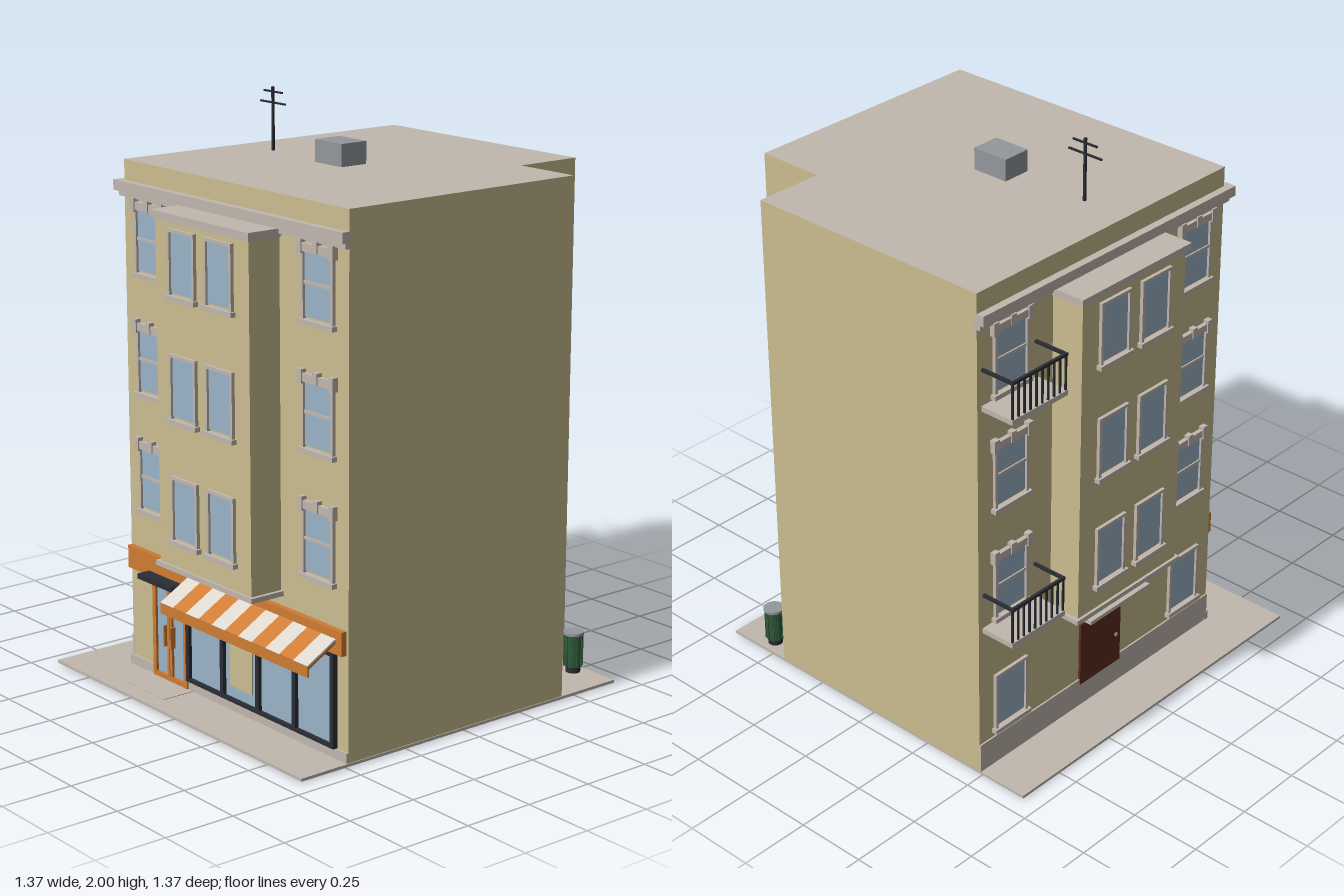
import * as THREE from 'three';

const mat = (name, color) => {
  const m = new THREE.MeshStandardMaterial({ color });
  m.name = name;
  return m;
};
const wall = mat('tan wall', 0xcbbd90);
const trim = mat('pale stone', 0xc1b7ae);
const glass = mat('blue glass', 0x9ab3c6);
const orange = mat('orange paint', 0xcf7c33);
const white = mat('awning white', 0xdcd7ce);
const dark = mat('dark iron', 0x2a2d34);
const metal = mat('grey metal', 0x93989d);
const green = mat('bin green', 0x2f5c3c);
const brown = mat('brown door', 0x5c2e20);

function add(parent, name, geometry, material) {
  const mesh = new THREE.Mesh(geometry, material);
  mesh.name = name;
  parent.add(mesh);
  return mesh;
}

// Box given by its extents on each axis
function box(parent, name, material, x0, x1, y0, y1, z0, z1) {
  const mesh = add(parent, name, new THREE.BoxGeometry(x1 - x0, y1 - y0, z1 - z0), material);
  mesh.position.set((x0 + x1) / 2, (y0 + y1) / 2, (z0 + z1) / 2);
  return mesh;
}

function group(parent, name, x = 0, y = 0, z = 0, turn = 0) {
  const g = new THREE.Group();
  g.name = name;
  g.position.set(x, y, z);
  g.rotation.y = turn;
  parent.add(g);
  return g;
}

// Window facing local +z, its bottom centre at the origin
function addWindow(parent, w, h, { sash = false, crown = false } = {}) {
  const f = 0.011, r = w / 2;
  box(parent, 'windowGlass', glass, -r + f, r - f, f, h - f, 0, 0.004);
  for (const s of [-1, 1]) {
    const x = s * (r - f / 2);
    box(parent, 'windowJamb', trim, x - f / 2, x + f / 2, 0, h, 0, 0.012);
  }
  box(parent, 'windowHead', trim, -r, r, h - f, h, 0, 0.012);
  box(parent, 'windowSill', trim, -r - 0.008, r + 0.008, -0.012, 0.004, 0, 0.02);
  if (sash) box(parent, 'windowSash', trim, -r + f, r - f, h * 0.53 - 0.005, h * 0.53 + 0.005, 0, 0.009);
  if (crown) {
    box(parent, 'lintel', trim, -r - 0.004, r + 0.004, h - 0.008, h + 0.018, 0, 0.016);
    for (const x of [-r, 0, r])
      box(parent, 'lintelKey', trim, x - 0.011, x + 0.011, h - (x ? 0.016 : 0.008), h + 0.03, 0, 0.02);
  }
}

const FLOORS = [0.59, 1.0, 1.41];

// Upper storeys of a street wall: a bay in the middle, ornate windows either side
function addFacade(parent) {
  for (const y of FLOORS) {
    for (const s of [-1, 1]) {
      addWindow(group(parent, 'sideWindow', s * 0.4425, y, 0), 0.155, 0.225, { sash: true, crown: true });
      addWindow(group(parent, 'bayWindow', s * 0.0975, y, 0.12), 0.142, 0.22);
    }
  }
  box(parent, 'bay', wall, -0.246, 0.246, 0.5, 1.66, -0.01, 0.12);
  box(parent, 'bayFoot', trim, -0.259, 0.259, 0.483, 0.5, -0.01, 0.13);
  box(parent, 'bayCapLower', trim, -0.252, 0.252, 1.648, 1.658, -0.01, 0.126);
  box(parent, 'bayCap', trim, -0.26, 0.26, 1.656, 1.678, -0.01, 0.132);
}

function addBalcony(parent, y) {
  const g = group(parent, 'balcony', 0, y, 0);
  const x0 = -0.62, z0 = -0.665, z1 = -0.415, top = 0.14;
  box(g, 'balconyFloor', trim, x0, -0.49, -0.008, 0.01, z0, z1);
  box(g, 'frontRail', dark, x0, x0 + 0.01, top - 0.01, top, z0, z1);
  for (const z of [z0, z1 - 0.01]) box(g, 'endRail', dark, x0, -0.49, top - 0.01, top, z, z + 0.01);
  for (let i = 0; i <= 9; i++) {
    const z = z0 + 0.005 + i * (z1 - z0 - 0.01) / 9;
    box(g, 'baluster', dark, x0 + 0.002, x0 + 0.008, 0.01, top - 0.01, z - 0.003, z + 0.003);
  }
}

function addShop(parent) {
  const g = group(parent, 'shop');
  box(g, 'fascia', orange, -0.485, 0.67, 0.37, 0.45, 0.48, 0.512);
  // Display windows
  box(g, 'shopGlass', glass, -0.155, 0.62, 0.05, 0.37, 0.48, 0.497);
  box(g, 'bottomRail', dark, -0.16, 0.625, 0.048, 0.06, 0.48, 0.51);
  box(g, 'topRail', dark, -0.16, 0.625, 0.355, 0.37, 0.48, 0.51);
  for (let i = 0; i < 5; i++) {
    const x = -0.152 + i * 0.192;
    box(g, 'mullion', dark, x - 0.009, x + 0.009, 0.05, 0.37, 0.48, 0.51);
  }
  box(g, 'poster', wall, 0.075, 0.195, 0.1, 0.242, 0.496, 0.501);
  // Double door
  box(g, 'doorGlass', glass, -0.35, -0.165, 0.02, 0.36, 0.48, 0.497);
  for (const [a, b] of [[-0.355, -0.337], [-0.272, -0.26], [-0.257, -0.245], [-0.18, -0.162]])
    box(g, 'doorStile', orange, a, b, 0.016, 0.362, 0.48, 0.506);
  for (const y of [0.016, 0.343]) box(g, 'doorRail', orange, -0.355, -0.162, y, y + 0.018, 0.48, 0.505);
  for (const x of [-0.28, -0.243]) box(g, 'doorHandle', orange, x, x + 0.007, 0.14, 0.215, 0.495, 0.517);
  box(g, 'doorCanopy', dark, -0.363, -0.163, 0.37, 0.388, 0.49, 0.56);
  box(g, 'doorStep', trim, -0.385, -0.135, 0, 0.016, 0.49, 0.62);

  // Striped awning, a sloped sheet split into strips
  const slope = Math.atan2(0.065, 0.115), length = Math.hypot(0.115, 0.065), w = 0.78 / 11;
  for (let i = 0; i < 11; i++) {
    const s = add(g, 'awningStripe', new THREE.BoxGeometry(w, 0.006, length), i % 2 ? orange : white);
    s.position.set(-0.14 + (i + 0.5) * w, 0.388, 0.566);
    s.rotation.x = slope;
  }
  box(g, 'awningValance', orange, -0.14, 0.64, 0.32, 0.357, 0.618, 0.625);
  for (const x of [-0.14, 0.634]) {
    const arm = add(g, 'awningArm', new THREE.BoxGeometry(0.006, 0.008, length), orange);
    arm.position.set(x + 0.003, 0.381, 0.564);
    arm.rotation.x = slope;
  }
}

export function createModel() {
  const model = new THREE.Group();
  model.name = 'cornerBuilding';
  box(model, 'pavement', trim, -0.683, 0.683, 0.004, 0.014, -0.683, 0.683);

  // Main block with a notch in the back corner; roof cap and walls differ in colour
  const plan = new THREE.Shape([
    [-0.492, -0.492], [0.68, -0.492], [0.68, 0.437], [0.435, 0.437], [0.435, 0.683], [-0.492, 0.683],
  ].map(([x, y]) => new THREE.Vector2(x, y)));
  const block = add(model, 'mainBlock',
    new THREE.ExtrudeGeometry(plan, { depth: 1.772, bevelEnabled: false }), [trim, wall]);
  block.rotation.x = -Math.PI / 2;
  block.position.y = 0.012;

  // Stepped cornice along both street walls
  for (const [out, y0, y1] of [[0.014, 1.662, 1.682], [0.027, 1.68, 1.715]]) {
    const e = 0.492 + out;
    box(model, 'frontCornice', trim, -e, 0.68, y0, y1, 0.48, e);
    box(model, 'leftCornice', trim, -e, -0.48, y0, y1, -0.683, e);
  }

  // Plinths
  box(model, 'frontPlinth', trim, -0.499, -0.357, 0.012, 0.048, 0.48, 0.5);
  box(model, 'frontPlinth', trim, -0.16, 0.68, 0.012, 0.048, 0.48, 0.5);
  box(model, 'sidePlinth', trim, -0.498, -0.48, 0.012, 0.12, -0.683, 0.492);

  // Two street facades
  addFacade(group(model, 'frontFacade', 0.095, 0, 0.492));
  const side = group(model, 'sideFacade', -0.492, 0, -0.095, -Math.PI / 2);
  addFacade(side);
  for (const s of [-1, 1]) addWindow(group(side, 'groundWindow', s * 0.4425, 0.15, 0), 0.155, 0.215);
  box(side, 'sideDoor', brown, -0.1, 0.105, 0.1, 0.345, 0, 0.009);
  box(side, 'sideDoorKnob', metal, 0.075, 0.085, 0.21, 0.22, 0, 0.016);
  box(side, 'sideCanopy', trim, -0.15, 0.15, 0.412, 0.426, 0, 0.095);
  box(side, 'sideCanopyFoot', trim, -0.11, 0.11, 0.385, 0.412, 0, 0.03);
  for (const y of [0.565, 1.382]) addBalcony(model, y);

  addShop(model);

  // Plain windows in the back notch
  for (const y of FLOORS) {
    addWindow(group(model, 'notchWindow', 0.435, y, -0.56, Math.PI / 2), 0.12, 0.18);
    addWindow(group(model, 'notchWindow', 0.558, y, -0.437, Math.PI), 0.12, 0.18);
  }

  // Ribbed waste bin
  const bin = group(model, 'wasteBin', 0.532, 0, -0.633);
  const cyl = (name, r0, r1, y0, y1, m) => {
    add(bin, name, new THREE.CylinderGeometry(r1, r0, y1 - y0, 20), m).position.y = (y0 + y1) / 2;
  };
  cyl('binFoot', 0.026, 0.026, 0.012, 0.036, dark);
  cyl('binBody', 0.029, 0.032, 0.035, 0.15, green);
  cyl('binLid', 0.036, 0.036, 0.15, 0.16, metal);
  for (let i = 0; i < 10; i++) {
    const a = i * Math.PI / 5;
    const rib = add(bin, 'binRib', new THREE.BoxGeometry(0.006, 0.112, 0.006), green);
    rib.position.set(Math.sin(a) * 0.031, 0.092, Math.cos(a) * 0.031);
    rib.rotation.y = a;
  }

  // Rooftop vent and aerial
  box(model, 'roofVent', metal, -0.044, 0.092, 1.78, 1.86, -0.065, 0.04);
  const aerial = group(model, 'aerial', -0.32, 0, 0);
  box(aerial, 'mast', dark, -0.004, 0.004, 1.78, 2, -0.004, 0.004);
  box(aerial, 'upperBar', dark, -0.048, 0.05, 1.98, 1.986, -0.003, 0.003);
  box(aerial, 'lowerBar', dark, -0.068, 0.068, 1.943, 1.949, -0.003, 0.003);
  return model;
}
